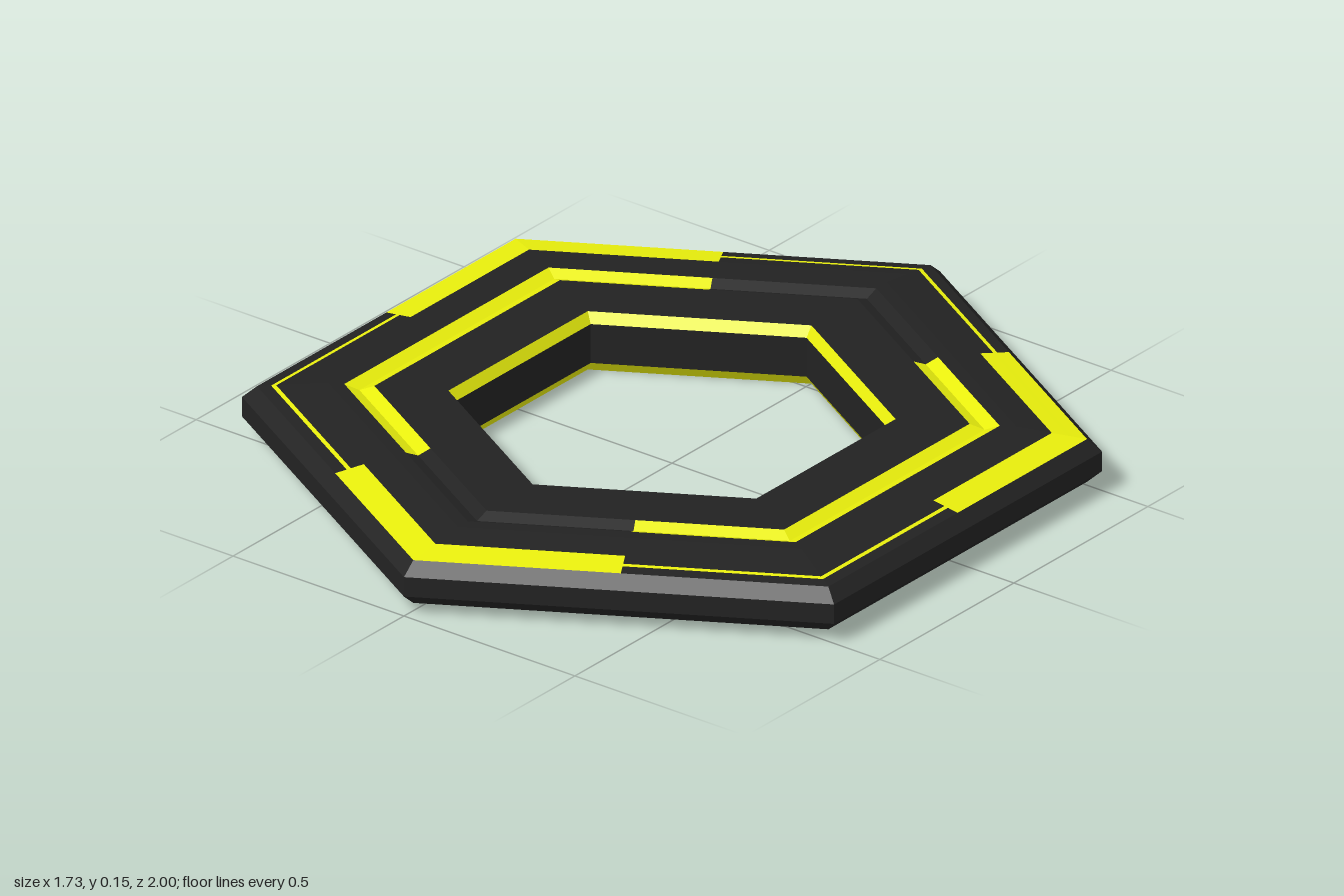
import * as THREE from 'three';

const HEIGHT = 0.15;

// Half profile of the ring from the inner wall over the top to the outer wall:
// [corner radius, y, part name of the strip that starts here]
const PROFILE = [
  [0.502, HEIGHT / 2, 'body'],
  [0.502, 0.125, 'innerRimLight'],
  [0.52, 0.15, 'body'],
  [0.692, 0.15, 'grooveLight'],
  [0.727, 0.137, 'grooveLight'],
  [0.762, 0.15, 'body'],
  [0.8, 0.15, 'body'],
  [0.883, 0.14, 'outerBandLight'],
  [0.92, 0.1355, 'outerLineLight'],
  [0.932, 0.134, 'outerBandLight'],
  [0.965, 0.13, 'body'],
  [1.0, 0.1, 'body'],
  [1.0, HEIGHT / 2, null],
];

// Decides whether a strip is lit in the sector around hexagon corner k
function partFor(name, k) {
  if (name === 'grooveLight' && k % 3 === 1) return 'body';
  if (name === 'outerBandLight' && k % 2 === 0) return 'body';
  return name;
}

// Point on a hexagon of corner radius r; step 0 is a corner, odd steps are edge midpoints
function hexPoint(r, y, step) {
  const angle = Math.PI / 6 + step * Math.PI / 6;
  const d = step % 2 === 0 ? r : r * Math.cos(Math.PI / 6);
  return [d * Math.cos(angle), y, d * Math.sin(angle)];
}

// Sweeps the half profile round the hexagon, sorting quads by part
function buildHalf() {
  const parts = {};
  for (let k = 0; k < 6; k++) {
    for (const s of [2 * k - 1, 2 * k]) {
      for (let i = 0; i < PROFILE.length - 1; i++) {
        const [r0, y0, name] = PROFILE[i];
        const [r1, y1] = PROFILE[i + 1];
        const a = hexPoint(r0, y0, s), b = hexPoint(r0, y0, s + 1);
        const c = hexPoint(r1, y1, s), d = hexPoint(r1, y1, s + 1);
        const part = partFor(name, k);
        (parts[part] ??= []).push(...a, ...b, ...c, ...b, ...d, ...c);
      }
    }
  }
  return parts;
}

export function createModel() {
  const black = new THREE.MeshStandardMaterial({ color: 0x222222 });
  const yellow = new THREE.MeshStandardMaterial({ color: 0xe8ee0c });
  const model = new THREE.Group();
  model.name = 'hexagonRing';

  const upper = new THREE.Group();
  upper.name = 'upperHalf';
  for (const [name, positions] of Object.entries(buildHalf())) {
    const geometry = new THREE.BufferGeometry();
    geometry.setAttribute('position', new THREE.Float32BufferAttribute(positions, 3));
    geometry.computeVertexNormals();
    const mesh = new THREE.Mesh(geometry, name === 'body' ? black : yellow);
    mesh.name = name;
    upper.add(mesh);
  }

  // The underside is the same half turned over
  const lower = upper.clone();
  lower.name = 'lowerHalf';
  lower.rotation.x = Math.PI;
  lower.position.y = HEIGHT;

  model.add(upper, lower);
  return model;
}
